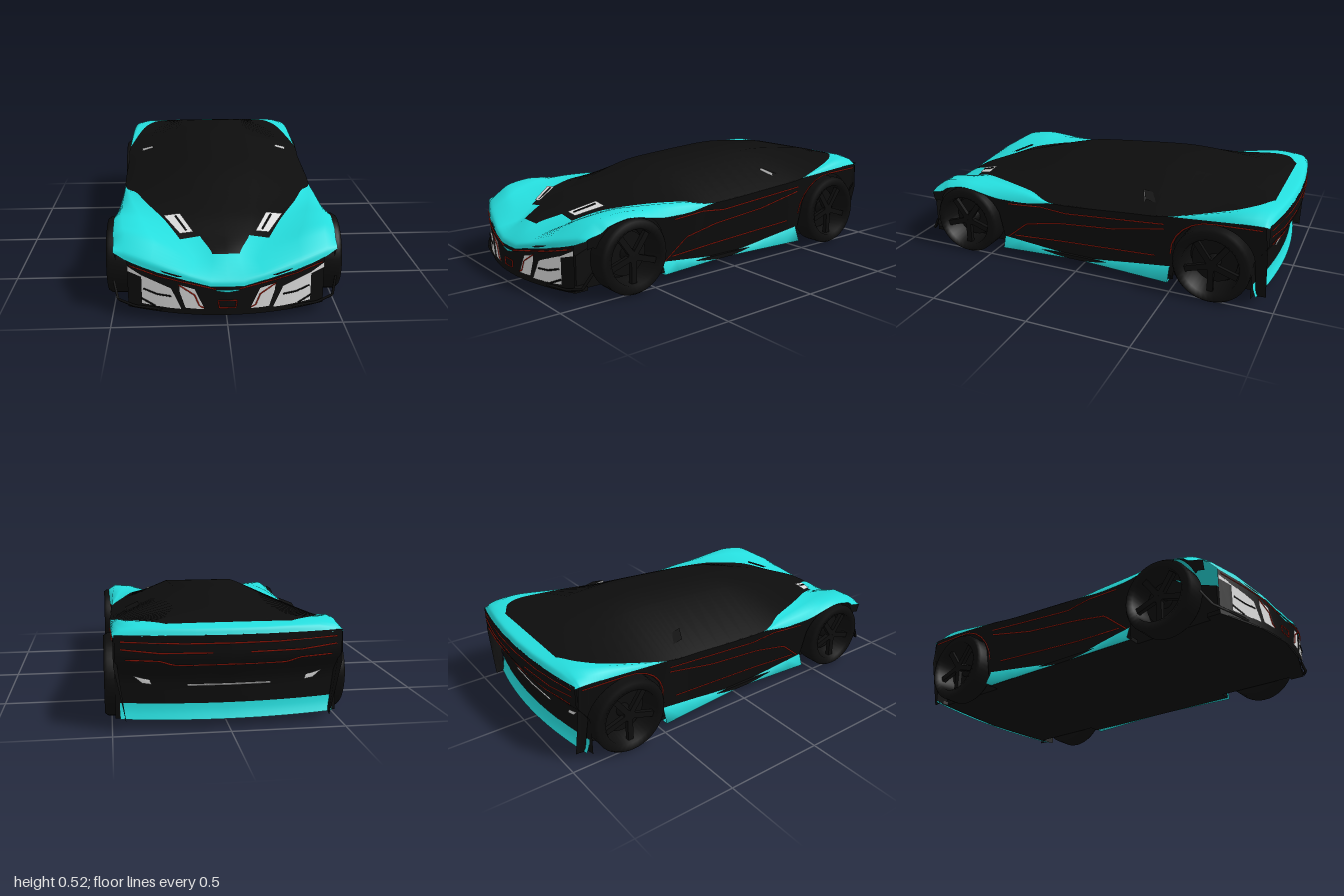
import * as THREE from 'three';

const paint = (name, color) => {
  const m = new THREE.MeshStandardMaterial({ color, side: THREE.DoubleSide });
  m.name = name;
  return m;
};
const V = (x, y, z) => new THREE.Vector3(x, y, z);
const { lerp, smoothstep, clamp } = THREE.MathUtils;
const steps = (n, f) => Array.from({ length: n + 1 }, (_, i) => f(i / n));

export function createModel() {
  const car = new THREE.Group();
  car.name = 'sportsCar';
  const black = paint('black', 0x0d0d0d), teal = paint('teal', 0x25dede);
  const red = paint('red', 0xd02412), grey = paint('lightGrey', 0xdcdcdc);

  const add = (parent, name, geo, mat) => {
    const m = new THREE.Mesh(geo, mat);
    m.name = name;
    parent.add(m);
    return m;
  };
  // Surface through rows of points; pick(row, column) chooses the material index
  const grid = (rows, pick = () => 0) => {
    const n = rows[0].length, sets = [[], []];
    for (let i = 0; i < rows.length - 1; i++) for (let j = 0; j < n - 1; j++) {
      const a = i * n + j, c = a + n;
      sets[pick(i, j)].push(a, a + 1, c, a + 1, c + 1, c);
    }
    const g = new THREE.BufferGeometry().setFromPoints(rows.flat());
    g.setIndex(sets.flat());
    g.addGroup(0, sets[0].length, 0);
    g.addGroup(sets[0].length, sets[1].length, 1);
    g.computeVertexNormals();
    return g;
  };
  const line = (parent, name, pts, mat, r = 0.0028) => {
    const path = new THREE.CurvePath();
    for (let i = 1; i < pts.length; i++) path.add(new THREE.LineCurve3(pts[i - 1], pts[i]));
    return add(parent, name, new THREE.TubeGeometry(path, pts.length * 8, r, 4), mat);
  };

  // Upper shell stations: z, roof height, roof half width, shoulder height,
  // then, where there is a fender, its inner edge x, y and its crown
  const stations = [
    [0.99, 0.175, 0.07, 0.285, 0.15, 0.195, -0.01],
    [0.975, 0.205, 0.07, 0.295, 0.16, 0.225, 0.01],
    [0.87, 0.275, 0.06, 0.31, 0.14, 0.25, 0.045],
    [0.76, 0.315, 0.11, 0.335, 0.2, 0.3, 0.036],
    [0.63, 0.36, 0.13, 0.355, 0.27, 0.345, 0.025],
    [0.45, 0.41, 0.15, 0.325, 0.36, 0.365, 0.03],
    [0.28, 0.455, 0.17, 0.325, 0.42, 0.362, 0.022],
    [0.12, 0.482, 0.18, 0.345],
    [-0.3, 0.515, 0.18, 0.372],
    [-0.48, 0.515, 0.18, 0.39],
    [-0.76, 0.49, 0.18, 0.41, 0.43, 0.442, 0.022],
    [-0.87, 0.472, 0.18, 0.415, 0.36, 0.46, 0.022],
    [-0.925, 0.458, 0.15, 0.415, 0.27, 0.457, 0.02],
    [-0.985, 0.446, 0.15, 0.413, 0.27, 0.446, 0.012],
    [-1, 0.42, 0.15, 0.41, 0.27, 0.42, 0],
  ];
  const halfWidth = z => 0.48 + 0.02 * Math.sin(Math.abs(z) * 2.6);
  const bow = z => 0.13 * smoothstep(z, 0.7, 0.98) - 0.05 * smoothstep(-z, 0.925, 0.985);
  const section = ([z, top, roof, shoulder, cx = halfWidth(z), cy = shoulder, crown = 0]) => {
    const fender = (t, up) => [lerp(cx, halfWidth(z), t), lerp(cy, shoulder, t) + up];
    return [[0, top], [roof, top], [cx, cy], fender(0.5, crown), fender(0.85, crown), fender(1, 0)];
  };
  const SUB = 6, spans = stations.length - 1;
  const rails = steps(10, t => {
    const k = Math.round(t * 10) - 5;
    return new THREE.CatmullRomCurve3(stations.map(s => {
      const [x, y] = section(s)[Math.abs(k)];
      return V(Math.sign(k) * x, y, s[0] - bow(s[0]) * (x / 0.49) ** 2);
    }), false, 'catmullrom', 0.4);
  });
  const shell = steps(spans * SUB, t => rails.map(r => r.getPoint(t)));
  add(car, 'upperShell', grid(shell, (i, j) => {
    const s = Math.floor(i / SUB), strip = j < 5 ? 4 - j : j - 5;
    if (s < 2 || s > 11) return 1;
    if (strip === 0) return 0;
    if (strip === 1) return s < 3 ? 1 : 0;
    return s < 7 || s > 8 ? 1 : 0;
  }), [black, teal]);

  // Everything on one side goes in this group, which is mirrored at the end
  const half = new THREE.Group();
  half.name = 'leftSide';
  const wheels = [[0.625, 0.177], [-0.7, 0.186]];
  const edge = shell.map(r => r[10]);
  const edgeAt = z => {
    const i = Math.max(1, edge.findIndex(p => p.z <= z));
    const a = edge[i - 1], b = edge[i];
    return a.clone().lerp(b, clamp((a.z - z) / (a.z - b.z), 0, 1));
  };
  const sideX = (z, y) => {
    const e = edgeAt(z);
    return e.x - 0.05 * Math.max(0, (e.y - y) / (e.y - 0.04));
  };
  // Flank with wheel arches cut into its lower edge
  const floorAt = (z, top) => {
    let y = z > 0.8 ? top - 0.05 : 0.04;
    for (const [cz, r] of wheels) {
      const R = r + 0.014, d = Math.abs(z - cz);
      if (d < R) y = Math.min(top - 0.003, r + Math.sqrt(R * R - d * d));
    }
    return y;
  };
  add(half, 'flankPanel', grid(steps(120, u => {
    const z = lerp(0.85, -0.95, u), top = edgeAt(z).y, low = floorAt(z, top);
    return steps(3, t => V(sideX(z, lerp(top, low, t)), lerp(top, low, t), z));
  })), black);

  // Side skirts: wedges flaring outwards from the sill
  const skirt = (name, z0, h0, z1, h1) => add(half, name, grid(steps(5, t => {
    const z = lerp(z0, z1, t), y = lerp(h0, h1, t);
    return [V(sideX(z, y) + 0.003, y, z), V(0.45 + 0.6 * (y - 0.045), 0.04, z), V(0.44, 0.042, z)];
  })), teal);
  skirt('frontSkirt', 0.43, 0.1, 0, 0.046);
  skirt('rearSkirt', 0, 0.05, -0.485, 0.115);

  // Red pinstripes on the flank: z, y
  const stripe = pts => line(half, 'flankPinstripe', pts.map(([z, y]) => V(sideX(z, y) + 0.002, y, z)), red);
  stripe([[0.41, 0.1], [0.29, 0.2], [0.1, 0.235], [-0.2, 0.265], [-0.46, 0.32]]);
  stripe([[0.38, 0.305], [0.2, 0.315], [0.06, 0.3], [-0.46, 0.345]]);
  stripe([[0.37, 0.115], [0.1, 0.128], [-0.41, 0.16]]);
  stripe(steps(6, t => [-0.7 + 0.21 * Math.cos(t * 1.6), 0.19 + 0.2 * Math.sin(t * 1.6)]));
  stripe([[-0.7, 0.39], [-0.92, 0.395]]);

  // Front face and its light openings: columns of x, low, high
  const noseZ = x => 0.985 - 0.13 * (x / 0.49) ** 2;
  const nosePlate = (name, cols, mat, off = 0.004) => add(half, name, grid(cols.map(([x, lo, hi]) =>
    [V(x, hi, noseZ(x) + off), V(x, lo, noseZ(x) + off)])), mat);
  nosePlate('frontFascia', steps(8, t => [0.43 * t, 0.04, 0.176 + 0.09 * t]), black, 0);
  nosePlate('innerIntake', [[0.1, 0.07, 0.075], [0.14, 0.07, 0.162], [0.18, 0.072, 0.172], [0.205, 0.15, 0.178]], grey);
  nosePlate('outerIntake', [[0.2, 0.065, 0.07], [0.24, 0.065, 0.158], [0.3, 0.067, 0.18], [0.368, 0.07, 0.203]], grey);
  nosePlate('upperIntake', [[0.368, 0.195, 0.203], [0.43, 0.212, 0.235]], grey);
  const noseLine = (name, pts, mat, r) => line(half, name, pts.map(([x, y]) => V(x, y, noseZ(x) + 0.006)), mat, r);
  noseLine('intakeSlat', [[0.24, 0.122], [0.3, 0.125], [0.36, 0.142]], black, 0.004);
  noseLine('intakeSlat', [[0.31, 0.068], [0.37, 0.095]], black, 0.004);
  noseLine('fasciaPinstripe', [[0.05, 0.165], [0.2, 0.195], [0.3, 0.212], [0.42, 0.24]], red);
  noseLine('fasciaPinstripe', [[0.1, 0.076], [0.12, 0.085], [0.14, 0.135], [0.21, 0.18]], red);
  noseLine('grilleOutline', [[0, 0.112], [0.04, 0.112], [0.035, 0.078], [0, 0.078]], red);
  nosePlate('noseTrim', [[0, 0.15, 0.162], [0.05, 0.158, 0.164]], teal, 0.008);
  line(half, 'cornerBlade', [V(0.28, 0.05, 0.94), V(0.4, 0.055, 0.912), V(0.475, 0.07, 0.875), V(0.495, 0.14, 0.83)], black, 0.007);

  // Headlamp on the bonnet and door mirror
  add(half, 'headlamp', grid([[V(0.14, 0.33, 0.745), V(0.2, 0.321, 0.74)], [V(0.2, 0.375, 0.625), V(0.275, 0.366, 0.625)]]), grey);
  line(half, 'headlampRib', [V(0.17, 0.33, 0.73), V(0.22, 0.368, 0.64)], black, 0.005);
  const mirrorTop = [V(0.357, 0.447, -0.31), V(0.42, 0.424, -0.34)];
  const shifted = (y, z) => mirrorTop.map(p => V(p.x, p.y + y, p.z + z));
  add(half, 'mirrorFace', grid([mirrorTop, shifted(-0.024, 0.005)]), grey);
  add(half, 'mirrorHousing', grid([mirrorTop, shifted(-0.012, -0.06)]), black);

  // Wheels: lathed tyre and rim, hub, disc and five spokes
  const profile = [[0.68, -0.06], [0.94, -0.06], [1, -0.045], [1, 0.045], [0.94, 0.06], [0.74, 0.058], [0.68, -0.06]];
  for (const [z, r] of wheels) {
    const wheel = new THREE.Group();
    wheel.name = z > 0 ? 'frontWheel' : 'rearWheel';
    add(wheel, 'tyre', new THREE.LatheGeometry(profile.map(([a, b]) => new THREE.Vector2(a * r, b)), 40), black);
    add(wheel, 'hub', new THREE.CylinderGeometry(0.03, 0.035, 0.08, 16), black);
    add(wheel, 'brakeDisc', new THREE.CylinderGeometry(r * 0.6, r * 0.6, 0.012, 32), black).position.y = -0.03;
    for (let k = 0; k < 5; k++) {
      const g = new THREE.BoxGeometry(r * 0.7, 0.022, 0.028).translate(r * 0.36, 0.03, 0);
      add(wheel, 'spoke', g, black).rotation.y = k * Math.PI * 0.4;
    }
    wheel.rotation.z = -Math.PI / 2;
    wheel.position.set(0.47, r, z);
    half.add(wheel);
  }

  // Rear face, lower lip and lights
  const tailZ = (x, y) => -0.935 - 0.065 * smoothstep(y, 0.21, 0.33) + 0.05 * (x / 0.49) ** 2;
  const across = f => steps(6, t => f(0.485 * t));
  add(half, 'rearFascia', grid(steps(12, t => across(x => V(x, lerp(0.42, 0.04, t), tailZ(x, lerp(0.42, 0.04, t)))))), black);
  add(half, 'rearLip', grid(steps(3, t => across(x => {
    const y = lerp(0.11, 0.042, t);
    return V(x * 0.96, y, tailZ(x, y) - 0.004 - 0.018 * t * t);
  }))), teal);
  const tailLine = (name, pts, mat, r) => line(half, name, pts.map(([x, y]) => V(x, y, tailZ(x, y) - 0.002)), mat, r);
  tailLine('tailLight', [[0, 0.385], [0.2, 0.385], [0.46, 0.392]], red);
  tailLine('tailLight', [[0.08, 0.345], [0.3, 0.345], [0.46, 0.36]], red);
  tailLine('tailLight', [[0, 0.29], [0.24, 0.29], [0.3, 0.31], [0.44, 0.315]], red);
  tailLine('rearBar', [[0, 0.19], [0.18, 0.19]], grey, 0.004);
  const onTail = (x, y) => V(x, y, tailZ(x, y) - 0.006);
  add(half, 'rearVent', grid([[onTail(0.34, 0.215), onTail(0.41, 0.235)], [onTail(0.33, 0.195), onTail(0.37, 0.2)]]), grey);

  const other = half.clone();
  other.name = 'rightSide';
  other.scale.x = -1;
  car.add(half, other);

  // Floor with wheel cut-outs
  const plan = [[0.2, 0.96], [0.43, 0.885], [0.43, 0.82], [0.4, 0.82], [0.4, 0.43], [0.455, 0.43], [0.455, -0.49],
    [0.4, -0.49], [0.4, -0.89], [0.44, -0.9]];
  const outline = [[0, 0.985], ...plan, [0, -0.94], ...plan.map(([x, z]) => [-x, z]).reverse()];
  const flat = pts => new THREE.Shape(pts.map(p => new THREE.Vector2(...p)));
  add(car, 'floor', new THREE.ExtrudeGeometry(flat(outline), { depth: 0.02, bevelEnabled: false })
    .rotateX(Math.PI / 2).translate(0, 0.06, 0), black);

  // Inner body between the wheels
  const core = [[0.86, 0.05], [0.86, 0.2], [0.6, 0.3], [0.2, 0.33], [-0.9, 0.39], [-0.9, 0.05]];
  add(car, 'innerBody', new THREE.ExtrudeGeometry(flat(core), { depth: 0.8, bevelEnabled: false })
    .rotateY(-Math.PI / 2).translate(0.4, 0, 0), black);
  return car;
}
